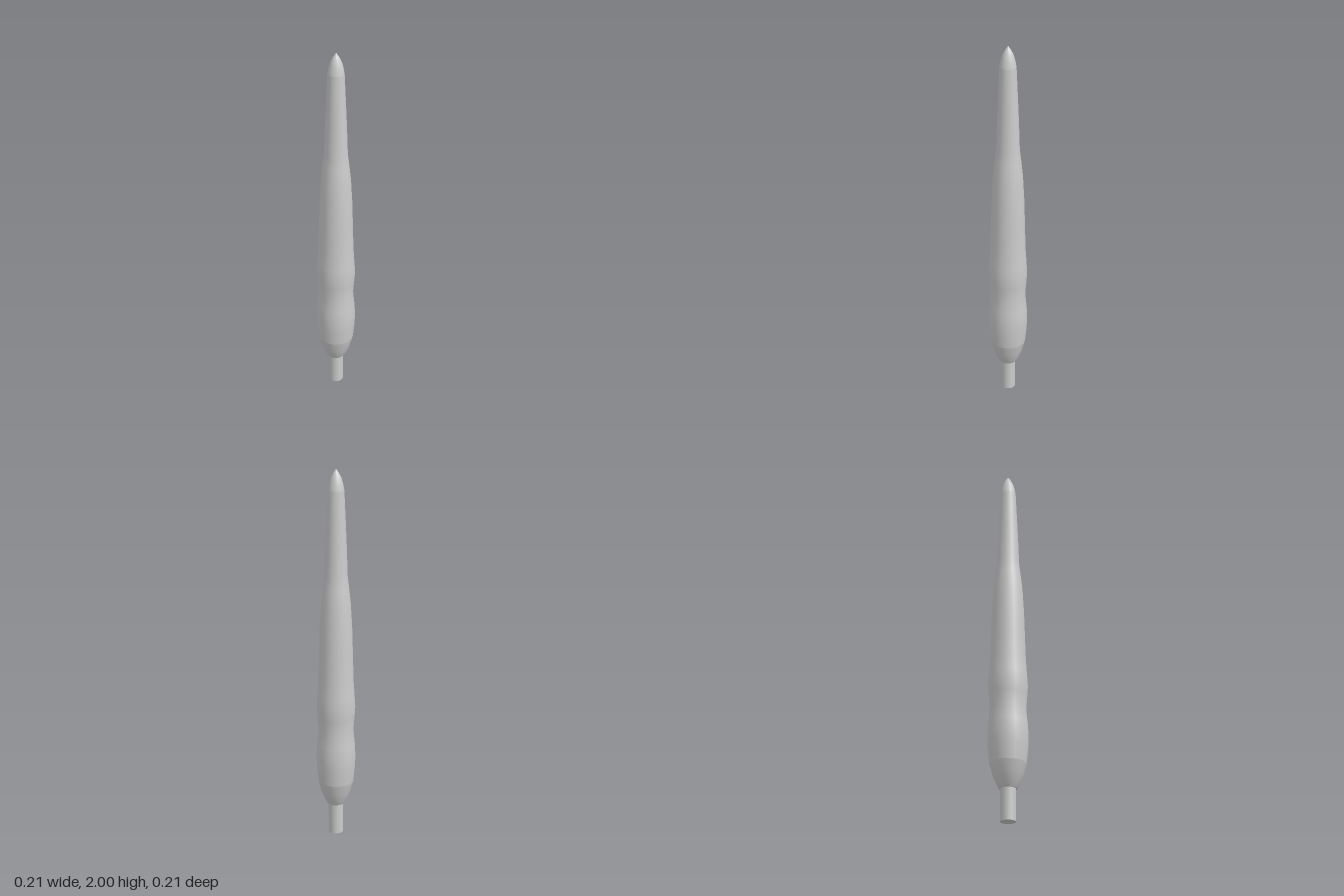
import * as THREE from 'three';

const SIDES = 20;
const material = new THREE.MeshStandardMaterial({ color: 0xcccccc });

// Turn a [radius, height] profile, listed from bottom to top, around the y axis
function turned(name, profile) {
  const points = profile.map(([r, y]) => new THREE.Vector2(r, y));
  const mesh = new THREE.Mesh(new THREE.LatheGeometry(points, SIDES), material);
  mesh.name = name;
  return mesh;
}

export function createModel() {
  const tree = new THREE.Group();
  tree.name = 'cypressTree';

  // Trunk, running a little way into the foliage
  const trunk = new THREE.Mesh(new THREE.CylinderGeometry(0.04, 0.04, 0.2, SIDES), material);
  trunk.name = 'trunk';
  trunk.position.y = 0.1;
  tree.add(trunk);

  // Flat underside around the trunk
  const underside = new THREE.Mesh(new THREE.CircleGeometry(0.046, SIDES), material);
  underside.name = 'foliageUnderside';
  underside.rotation.x = Math.PI / 2;
  underside.position.y = 0.17;
  tree.add(underside);

  // Foliage in three sections, with a crease in the shading where they meet
  tree.add(
    turned('foliageBase', [[0.046, 0.17], [0.06, 0.195], [0.079, 0.24], [0.095, 0.3]]),
    turned('foliageBody', [
      [0.095, 0.3], [0.103, 0.38], [0.106, 0.45], [0.102, 0.52], [0.094, 0.6],
      [0.1, 0.67], [0.104, 0.73], [0.1, 0.79], [0.094, 0.88], [0.09, 1.02],
      [0.086, 1.16], [0.078, 1.3], [0.069, 1.38], [0.061, 1.45], [0.056, 1.6],
      [0.049, 1.76], [0.043, 1.89],
    ]),
    turned('foliageTip', [[0.043, 1.89], [0.038, 1.92], [0.028, 1.955], [0.015, 1.98], [0, 2]]),
  );
  return tree;
}
